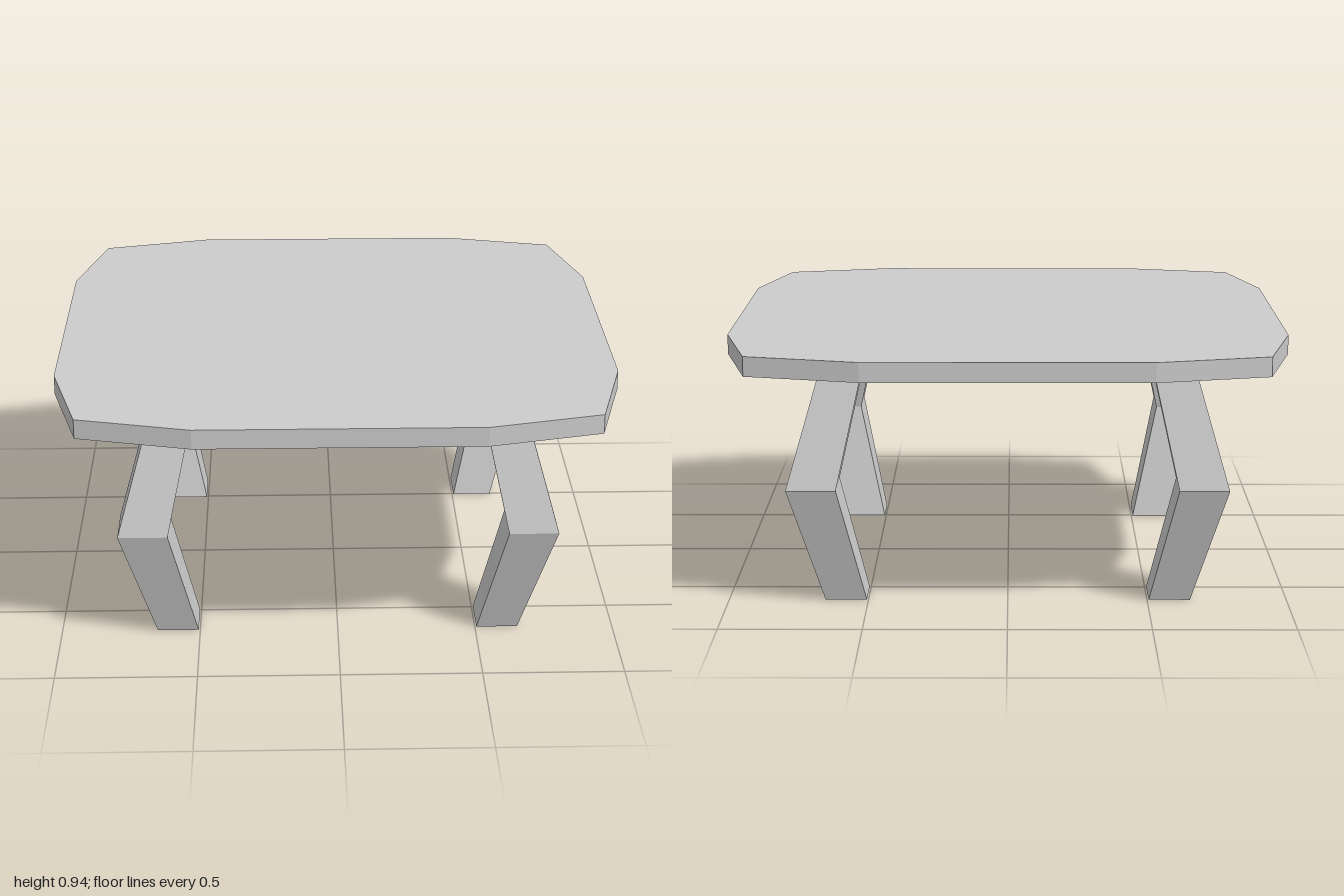
import * as THREE from 'three';

const material = new THREE.MeshStandardMaterial({ color: 0xcccccc, flatShading: true });
const LEG_HEIGHT = 0.868;
const TOP_THICKNESS = 0.07;

// Square top with blunt, slightly bowed edges
function createTop() {
  const outline = [];
  for (let i = 0; i < 4; i++) {
    const turn = i * Math.PI / 2;
    for (const [x, y] of [[1, -0.5], [1, 0.5], [0.9, 0.9]]) {
      outline.push(new THREE.Vector2(x, y).rotateAround(new THREE.Vector2(), turn));
    }
  }
  const geometry = new THREE.ExtrudeGeometry(new THREE.Shape(outline), {
    depth: TOP_THICKNESS, bevelEnabled: false,
  });
  geometry.rotateX(-Math.PI / 2).translate(0, LEG_HEIGHT, 0);
  const top = new THREE.Mesh(geometry, material);
  top.name = 'tableTop';
  return top;
}

// Bent leg: a box whose middle ring is wider and pushed outwards
function createLeg(sideX, sideZ) {
  const geometry = new THREE.BoxGeometry(2, LEG_HEIGHT, 2, 1, 2, 1);
  const p = geometry.attributes.position;
  for (let i = 0; i < p.count; i++) {
    const knee = Math.abs(p.getY(i)) < 0.01;
    const [centreX, halfX] = knee ? [0.69, 0.088] : [0.58, 0.074];
    const [centreZ, halfZ] = knee ? [0.682, 0.098] : [0.574, 0.081];
    p.setX(i, sideX * centreX + p.getX(i) * halfX);
    p.setZ(i, sideZ * centreZ + p.getZ(i) * halfZ);
  }
  geometry.translate(0, LEG_HEIGHT / 2, 0);
  geometry.computeVertexNormals();
  const leg = new THREE.Mesh(geometry, material);
  leg.name = (sideZ > 0 ? 'front' : 'back') + (sideX > 0 ? 'Left' : 'Right') + 'Leg';
  return leg;
}

export function createModel() {
  const table = new THREE.Group();
  table.name = 'table';
  table.add(createTop());
  for (const sideX of [-1, 1]) {
    for (const sideZ of [-1, 1]) table.add(createLeg(sideX, sideZ));
  }
  return table;
}
